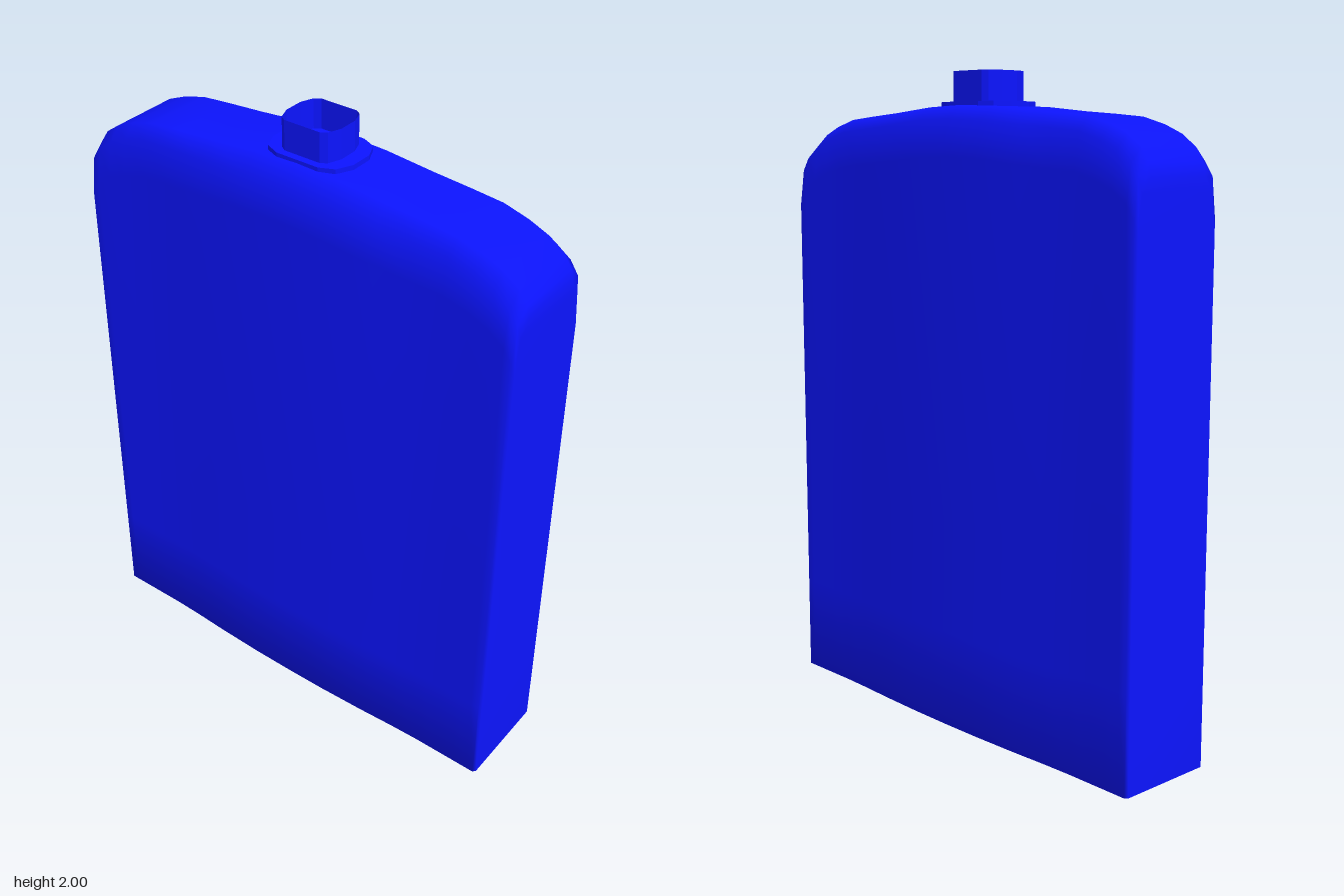
import * as THREE from 'three';

const material = new THREE.MeshStandardMaterial({ color: 0x0c14ff, side: THREE.DoubleSide });

// Stations from the middle outwards: z, top height, half width
const half = [
  [0, 1.9, 0.18], [0.14, 1.895, 0.179], [0.3, 1.88, 0.174], [0.42, 1.871, 0.168], [0.52, 1.862, 0.165],
  [0.6, 1.84, 0.165], [0.66, 1.815, 0.165], [0.71, 1.78, 0.165], [0.737, 1.74, 0.165], [0.745, 1.7, 0.156],
];

// Flat bottle body, lofted along z from mirrored upright sections
function bodyGeometry() {
  const stations = [
    ...half.slice(1).reverse(),
    ...half.map(([z, h, w]) => [-z, h, w]),
  ];
  const positions = [], index = [];
  const rows = 6, n = rows * 2;
  for (const [z, h, w] of stations) {
    const right = [[w, 0], [w, 0.3], [w, 0.65], [w, h - 0.15], [w - 0.014, h - 0.04], [0.11, h]];
    const left = right.map(([x, y]) => [-x, y]).reverse();
    for (const [x, y] of [...right, ...left]) positions.push(x, y, z);
  }
  for (let s = 0; s < stations.length - 1; s++) {
    for (let i = 0; i < n; i++) {
      const a = s * n + i, b = s * n + (i + 1) % n;
      index.push(a, a + n, b, b, a + n, b + n);
    }
  }
  // End walls, bridged from the right edge to the left edge
  const last = (stations.length - 1) * n;
  for (let i = 0; i < rows - 1; i++) {
    const r = i, r2 = i + 1, l = n - 1 - i, l2 = l - 1;
    index.push(r, r2, l2, r, l2, l);
    index.push(last + r, last + l2, last + r2, last + r, last + l, last + l2);
  }
  const g = new THREE.BufferGeometry();
  g.setAttribute('position', new THREE.Float32BufferAttribute(positions, 3));
  g.setIndex(index);
  g.computeVertexNormals();
  return g;
}

// Mirrors one quarter of an outline into a closed loop of (x, z) points
function outline(quarter) {
  const back = [...quarter].reverse();
  return [
    ...quarter,
    ...back.map(([x, z]) => [-x, z]),
    ...quarter.map(([x, z]) => [-x, -z]),
    ...back.map(([x, z]) => [x, -z]),
  ].map(([x, z]) => new THREE.Vector2(x, z));
}

// Open upright wall following an outline
function sleeve(points, y0, y1) {
  const g = new THREE.CylinderGeometry(1, 1, 1, points.length, 1, true);
  const p = g.attributes.position;
  const loop = [...points].reverse();
  for (let i = 0; i < p.count; i++) {
    const q = loop[(i % (loop.length + 1)) % loop.length];
    p.setXYZ(i, q.x, p.getY(i) > 0 ? y1 : y0, q.y);
  }
  const flat = g.toNonIndexed();
  flat.computeVertexNormals();
  return flat;
}

export function createModel() {
  const model = new THREE.Group();
  const add = (name, geometry) => {
    const mesh = new THREE.Mesh(geometry, material);
    mesh.name = name;
    model.add(mesh);
    return mesh;
  };

  add('body', bodyGeometry());

  // Thin collar plate under the neck
  const collarShape = new THREE.Shape(outline([[0.105, 0.07], [0.085, 0.115], [0.035, 0.138]]));
  const collar = new THREE.ExtrudeGeometry(collarShape, { depth: 0.025, bevelEnabled: false });
  collar.rotateX(-Math.PI / 2);
  add('collar', collar).position.y = 1.885;

  // Open neck
  add('neck', sleeve(outline([[0.082, 0.06], [0.07, 0.078], [0.03, 0.093]]), 1.9, 2));

  return model;
}
